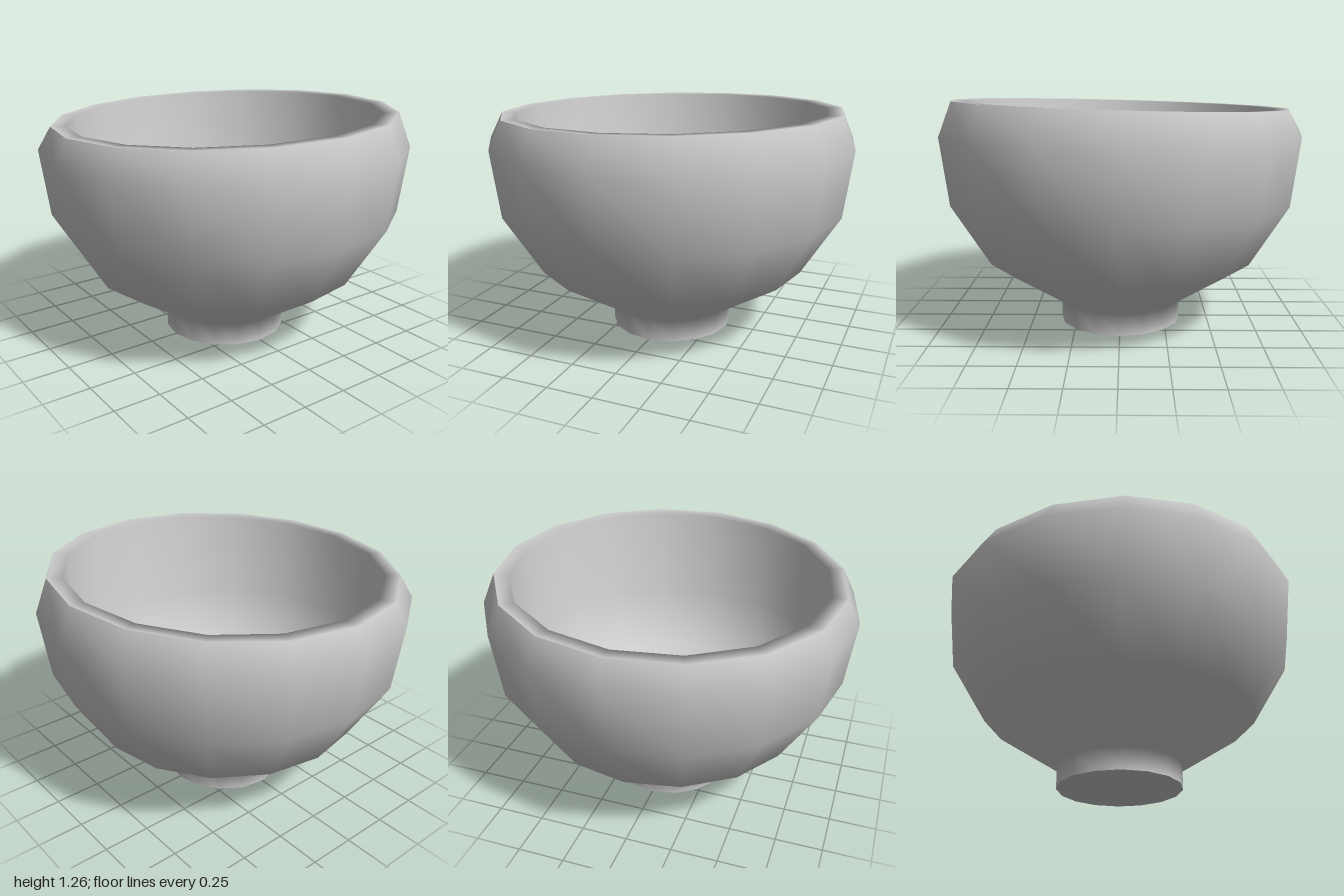
import * as THREE from 'three';

const SIDES = 16;

// Turned surface whose rim points lean, higher at the back left
function turned(name, points, material) {
  const geometry = new THREE.LatheGeometry(points.map(([r, y]) => new THREE.Vector2(r, y)), SIDES);
  const pos = geometry.attributes.position;
  for (let i = 0; i < pos.count; i++) {
    const y = pos.getY(i);
    if (y > 1.2) pos.setY(i, y + 0.026 * pos.getX(i) - 0.025 * pos.getZ(i));
  }
  const mesh = new THREE.Mesh(geometry, material);
  mesh.name = name;
  return mesh;
}

export function createModel() {
  const group = new THREE.Group();
  group.name = 'bowl';
  const material = new THREE.MeshStandardMaterial({ color: 0xcccccc });

  // Foot and outer wall, ending in a sharp rim edge
  group.add(turned('outerWall', [
    [0.34, 0], [0.34, 0.12], [0.75, 0.385], [0.955, 0.72], [1, 1.08], [0.93, 1.229],
  ], material));

  // Narrow lip rolling into a steep inner wall and rounded floor
  group.add(turned('lipAndInnerWall', [
    [0.93, 1.229], [0.85, 1.226], [0.845, 0.74], [0.66, 0.43], [0.3, 0.2], [0, 0.17],
  ], material));

  // Flat underside of the foot
  const base = new THREE.Mesh(new THREE.CircleGeometry(0.34, SIDES), material);
  base.name = 'footUnderside';
  base.rotation.x = Math.PI / 2;
  group.add(base);

  return group;
}
